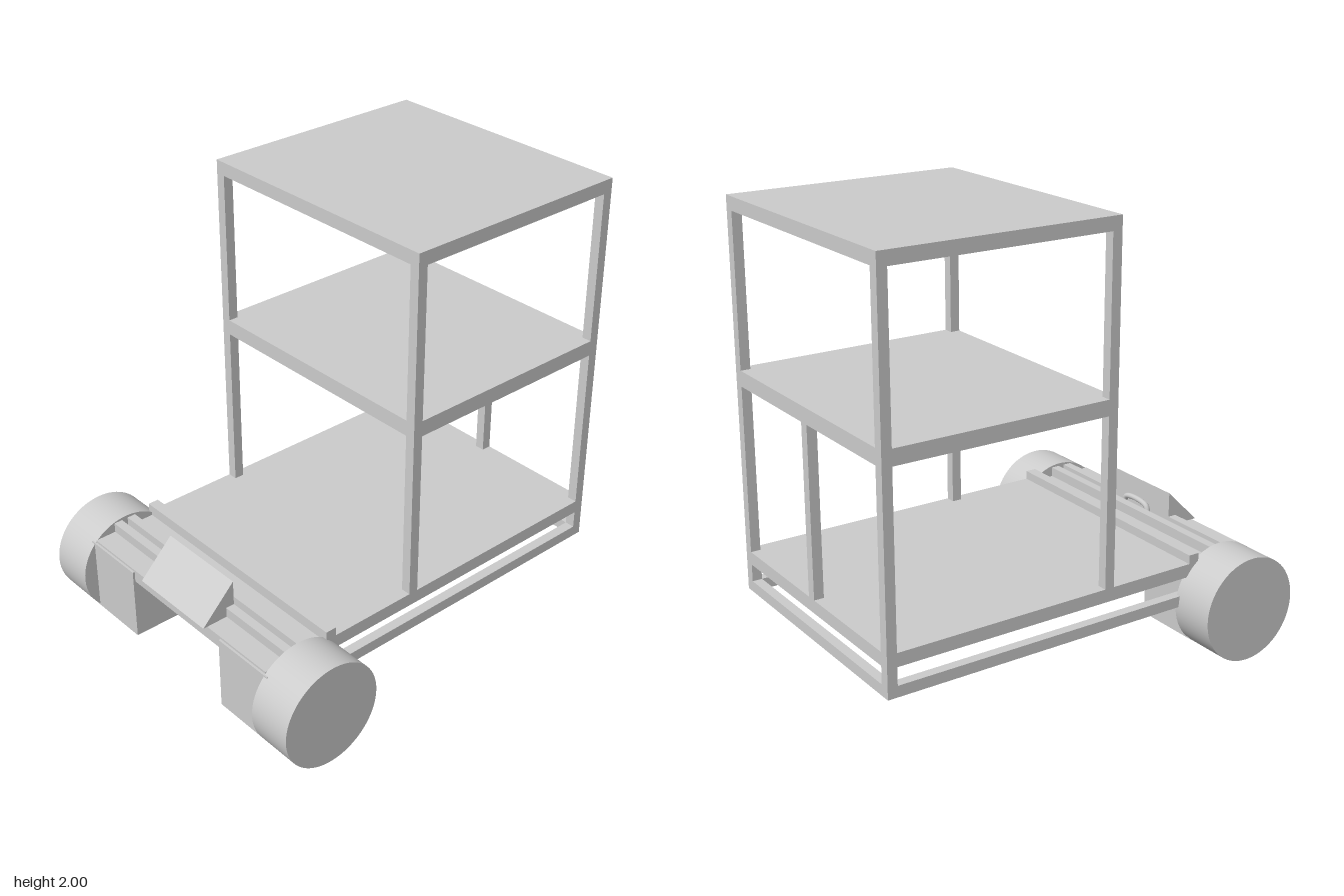
import * as THREE from 'three';

const grey = new THREE.MeshStandardMaterial({ color: 0xcccccc });

export function createModel() {
  const model = new THREE.Group();

  // Box given by its minimum and maximum on each axis
  const box = (name, x0, x1, y0, y1, z0, z1) => {
    const mesh = new THREE.Mesh(new THREE.BoxGeometry(x1 - x0, y1 - y0, z1 - z0), grey);
    mesh.position.set((x0 + x1) / 2, (y0 + y1) / 2, (z0 + z1) / 2);
    mesh.name = name;
    model.add(mesh);
    return mesh;
  };

  const T = 0.045; // frame tube width
  const FRONT = 0.96, TOWER = -0.13, DECK = -0.59, Z = 0.61;

  // Shelf: thin panel over a rim of four rails
  const shelf = (name, x0, y0, y1) => {
    box(name + 'Panel', x0, FRONT, y1 - 0.012, y1, -Z, Z);
    for (const s of [-1, 1]) {
      const z = s * (Z - T / 2);
      box(name + 'SideRail', x0, FRONT, y0, y1 - 0.012, z - T / 2, z + T / 2);
    }
    for (const x of [x0, FRONT - T])
      box(name + 'EndRail', x, x + T, y0, y1 - 0.012, -Z + T, Z - T);
  };
  shelf('topShelf', TOWER, 1.94, 2.0);
  shelf('middleShelf', TOWER, 1.19, 1.26);
  shelf('deck', DECK, 0.37, 0.43);

  // Uprights and lower rails
  for (const s of [-1, 1]) {
    const z0 = s > 0 ? Z - T : -Z, z1 = z0 + T;
    box('outerPost', FRONT - T, FRONT, 0.24, 1.94, z0, z1);
    box('innerPost', TOWER, TOWER + T, 0.43, 1.94, z0, z1);
    box('lowerSideRail', DECK, FRONT - T, 0.24, 0.29, z0, z1);
  }
  box('lowerEndRail', FRONT - T, FRONT, 0.24, 0.29, -Z + T, Z - T);
  box('centrePost', FRONT - T, FRONT, 0.43, 1.19, -T / 2, T / 2);

  // Axle beam: plate with a lip and raised cross bars
  box('deckCrossBar', DECK, DECK + 0.05, 0.43, 0.47, -Z, Z);
  box('axlePlate', -0.89, DECK, 0.395, 0.42, -0.59, 0.59);
  box('axleLip', -0.89, -0.865, 0.36, 0.395, -0.59, 0.59);
  for (const x of [-0.79, -0.72])
    box('axleBar', x, x + 0.04, 0.42, 0.465, -0.59, 0.59);

  // Drive housings and wheels
  const wheelGeometry = new THREE.CylinderGeometry(0.238, 0.238, 0.21, 64).rotateX(Math.PI / 2);
  for (const s of [-1, 1]) {
    box('driveHousing', -0.9, -0.555, 0.07, 0.41, s > 0 ? 0.3 : -Z, s > 0 ? Z : -0.3);
    const wheel = new THREE.Mesh(wheelGeometry, grey);
    wheel.name = 'wheel';
    wheel.position.set(-0.727, 0.24, s * 0.695);
    model.add(wheel);
  }

  // Sloped control console
  const wedge = new THREE.Shape([
    new THREE.Vector2(-0.91, 0.42),
    new THREE.Vector2(-0.75, 0.42),
    new THREE.Vector2(-0.75, 0.58),
  ]);
  const consoleMesh = new THREE.Mesh(
    new THREE.ExtrudeGeometry(wedge, { depth: 0.43, bevelEnabled: false }), grey);
  consoleMesh.name = 'console';
  consoleMesh.position.z = -0.217;
  model.add(consoleMesh);

  // Low rounded grip behind the console
  const grip = new THREE.Mesh(new THREE.TubeGeometry(new THREE.CatmullRomCurve3([
    new THREE.Vector3(-0.735, 0.44, -0.088),
    new THREE.Vector3(-0.735, 0.475, -0.07),
    new THREE.Vector3(-0.735, 0.477, 0.07),
    new THREE.Vector3(-0.735, 0.44, 0.088),
  ]), 24, 0.013, 10), grey);
  grip.name = 'grip';
  model.add(grip);

  return model;
}
